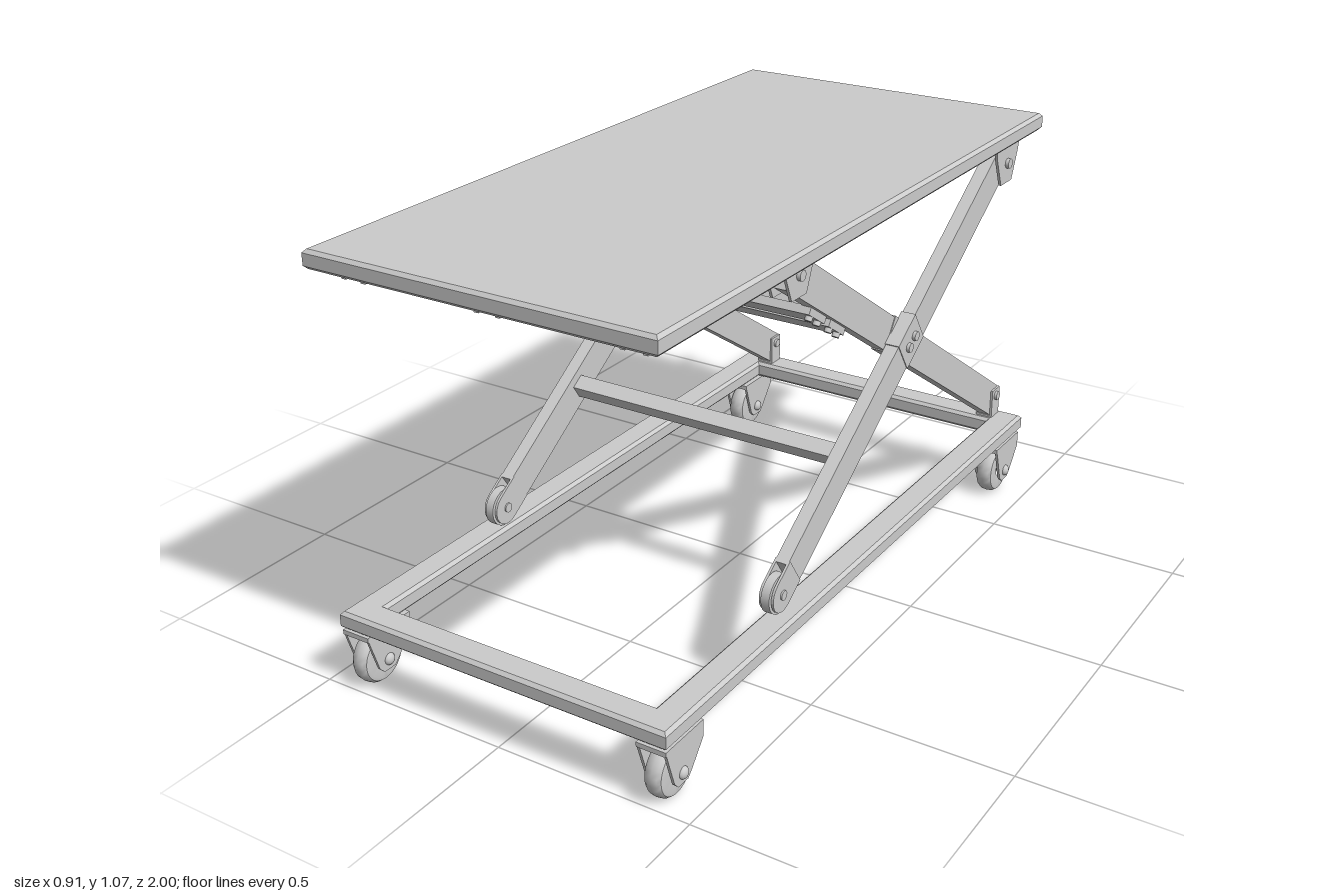
import * as THREE from 'three';
import { toCreasedNormals } from 'three/addons/utils/BufferGeometryUtils.js';

const mat = new THREE.MeshStandardMaterial({ color: 0xcccccc });

function add(parent, name, geo, x = 0, y = 0, z = 0, rotX = 0) {
  const m = new THREE.Mesh(geo, mat);
  m.name = name;
  m.position.set(x, y, z);
  m.rotation.x = rotX;
  parent.add(m);
  return m;
}
const box = (parent, name, w, h, d, x, y, z, rotX = 0) =>
  add(parent, name, new THREE.BoxGeometry(w, h, d), x, y, z, rotX);

// Smooth-sided cylinder lying along the x axis
const rod = (parent, name, r, len, x, y, z) =>
  add(parent, name, new THREE.CylinderGeometry(r, r, len, 24).rotateZ(Math.PI / 2), x, y, z);

const group = (parent, name, x = 0, y = 0, z = 0, rotX = 0) => {
  const g = new THREE.Group();
  g.name = name;
  g.position.set(x, y, z);
  g.rotation.x = rotX;
  parent.add(g);
  return g;
};

// Flat plate standing in the z/y plane, outline given as [z, y] points
function sidePlate(parent, name, pts, t, x, y, z) {
  const s = new THREE.Shape(pts.map(([a, b]) => new THREE.Vector2(-a, b)));
  const geo = new THREE.ExtrudeGeometry(s, { depth: t, bevelEnabled: false });
  geo.translate(0, 0, -t / 2).rotateY(Math.PI / 2);
  return add(parent, name, geo, x, y, z);
}

// Rectangular slab with bevelled edges, optionally an open frame of the given rail width
function slab(parent, name, w, d, h, y, z, rail = 0) {
  const b = 0.008;
  const pts = (hw, hd) => [[-hw, -hd], [hw, -hd], [hw, hd], [-hw, hd]].map(p => new THREE.Vector2(...p));
  const s = new THREE.Shape(pts(w / 2 - b, d / 2 - b));
  if (rail) s.holes.push(new THREE.Path(pts(w / 2 - rail + b, d / 2 - rail + b).reverse()));
  const geo = new THREE.ExtrudeGeometry(s, {
    depth: h - 2 * b, bevelEnabled: true, bevelThickness: b, bevelSize: b, bevelSegments: 1 });
  geo.translate(0, 0, b).rotateX(-Math.PI / 2);
  add(parent, name, geo, 0, y, z);
}

// Hanging pivot bracket under the table: base plate, two tapered cheeks and a pin
function hanger(parent, x, z) {
  const g = group(parent, 'pivotBracket', x, 0.975, z);
  const cheek = [[-0.07, 0.05], [-0.062, 0.02], [-0.032, -0.052], [0.032, -0.052], [0.062, 0.02], [0.07, 0.05]];
  for (const s of [-1, 1]) sidePlate(g, 'bracketCheek', cheek, 0.007, s * 0.0235, 0, 0);
  box(g, 'bracketBase', 0.054, 0.006, 0.14, 0, 0.047, 0);
  rod(g, 'pivotPin', 0.013, 0.072, 0, 0, 0);
}

function caster(parent, x, z) {
  const g = group(parent, 'caster', x, 0.066, z);
  const tire = [[0.02, -0.02], [0.05, -0.023], [0.058, -0.021], [0.064, -0.013], [0.066, 0],
    [0.064, 0.013], [0.058, 0.021], [0.05, 0.023], [0.02, 0.02]].map(p => new THREE.Vector2(...p));
  const geo = toCreasedNormals(new THREE.LatheGeometry(tire, 40), 0.6).rotateZ(Math.PI / 2);
  add(g, 'wheel', geo);
  const fork = [[0.062, 0.083], [0.055, 0.06], [0.032, -0.012], [0.018, -0.026], [-0.018, -0.026],
    [-0.034, -0.01], [-0.078, 0.045], [-0.078, 0.083]];
  for (const s of [-1, 1]) sidePlate(g, 'forkPlate', fork, 0.007, s * 0.034, 0, 0);
  box(g, 'forkTop', 0.075, 0.012, 0.14, 0, 0.08, -0.008);
  rod(g, 'axle', 0.007, 0.09, 0, 0, 0);
  for (const s of [-1, 1]) {
    const cap = new THREE.SphereGeometry(0.015, 16, 10).scale(0.75, 1, 1);
    add(g, 'axleCap', cap, s * 0.037);
  }
}

export function createModel() {
  const root = new THREE.Group();
  root.name = 'scissorLiftTable';

  slab(root, 'tableTop', 0.89, 1.78, 0.045, 1.025, 0.11);
  slab(root, 'baseFrame', 0.89, 1.78, 0.045, 0.155, 0.11, 0.075);

  // Channel rails under the table
  for (const x of [-0.355, 0, 0.355])
    for (const s of [-1, 1]) box(root, 'underRail', 0.012, 0.025, 1.06, x + s * 0.027, 1.0125, 0.42);

  // Outer arms: rollers at the front bottom, hinged at the back top
  const outer = group(root, 'outerArms', 0, 0.6125, -0.065, Math.atan2(0.725, 1.09));
  const oh = Math.hypot(0.725, 1.09) / 2;
  // Inner arms: hinged at the back bottom, sliding at the front top
  const inner = group(root, 'innerArms', 0, 0.61, -0.185, -Math.atan2(0.73, 1.11));
  const ih = Math.hypot(0.73, 1.11) / 2;

  const lug = [[-0.065, -0.0425]];
  for (let i = 0; i <= 12; i++) {
    const a = -Math.PI / 2 + (i / 12) * Math.PI;
    lug.push([Math.cos(a) * 0.0425, Math.sin(a) * 0.0425]);
  }
  lug.push([-0.065, 0.0425]);

  for (const s of [-1, 1]) {
    const xo = s * 0.393, xi = s * 0.357;

    box(outer, 'outerArm', 0.034, 0.085, 2 * oh - 0.035, xo, 0, -0.0375);
    for (const t of [-1, 1]) sidePlate(outer, 'rollerLug', lug, 0.006, xo + t * 0.016, 0, oh);
    rod(outer, 'roller', 0.048, 0.022, xo, 0, oh);
    rod(outer, 'rollerPin', 0.012, 0.046, xo, 0, oh);
    box(outer, 'pivotClip', 0.038, 0.091, 0.1, xo, 0, -0.07);
    for (const z of [-0.088, -0.052]) rod(outer, 'pivotBolt', 0.012, 0.012, s * 0.414, 0, z);

    box(inner, 'innerArm', 0.034, 0.085, 2 * ih + 0.03, xi, 0, 0.005);
    box(inner, 'pivotClip', 0.038, 0.091, 0.1, xi, 0, 0.075);
    for (const z of [0.057, 0.093]) rod(inner, 'pivotBolt', 0.012, 0.012, s * 0.337, 0, z);

    hanger(root, xo + s * 0.006, -0.61);
    hanger(root, xi - s * 0.004, 0.37);

    // Open post holding the bottom hinge
    const post = group(root, 'hingePost', xi, 0.24, -0.742);
    for (const t of [-1, 1]) box(post, 'postCheek', 0.006, 0.08, 0.046, t * 0.02, 0, 0);
    box(post, 'postFoot', 0.046, 0.006, 0.046, 0, -0.037, 0);
    rod(post, 'hingePin', 0.012, 0.06, 0, 0.02, 0);

    for (const z of [0.935, -0.69]) caster(root, s * 0.405, z);
  }

  // Cross members
  box(outer, 'crossBar', 0.752, 0.04, 0.04, 0, 0, 0.279);
  for (const z of [0.49, 0.381]) {
    box(inner, 'crossStrip', 0.722, 0.02, 0.085, 0, -0.05, z);
    for (const x of [-0.352, 0.352])
      for (const dz of [-0.022, 0.022])
        add(inner, 'stripBolt', new THREE.CylinderGeometry(0.009, 0.009, 0.012, 16), x, -0.065, z + dz);
  }
  box(inner, 'liftBlock', 0.44, 0.05, 0.2, 0, -0.015, 0.422);
  box(root, 'liftStrut', 0.032, 0.15, 0.028, 0, 0.95, 0.2, 0.34);

  // Gearbox and hand crank at the back
  const crank = group(root, 'handCrank');
  const gs = new THREE.Shape([[-0.045, 0.06], [-0.045, 0.012], [-0.033, 0], [0.033, 0], [0.045, 0.012], [0.045, 0.06]]
    .map(p => new THREE.Vector2(...p)));
  add(crank, 'gearbox', new THREE.ExtrudeGeometry(gs, { depth: 0.13, bevelEnabled: false }), 0, 0.967, -0.755);
  const along = (name, r, len, y, z) =>
    add(crank, name, new THREE.CylinderGeometry(r, r, len, 20).rotateX(Math.PI / 2), 0, y, z);
  along('crankShaft', 0.016, 0.075, 1.0, -0.788);
  add(crank, 'crankArm', new THREE.CylinderGeometry(0.007, 0.007, 0.215, 16), 0, 0.898, -0.815);
  along('crankHandle', 0.014, 0.188, 0.798, -0.906);

  return root;
}
